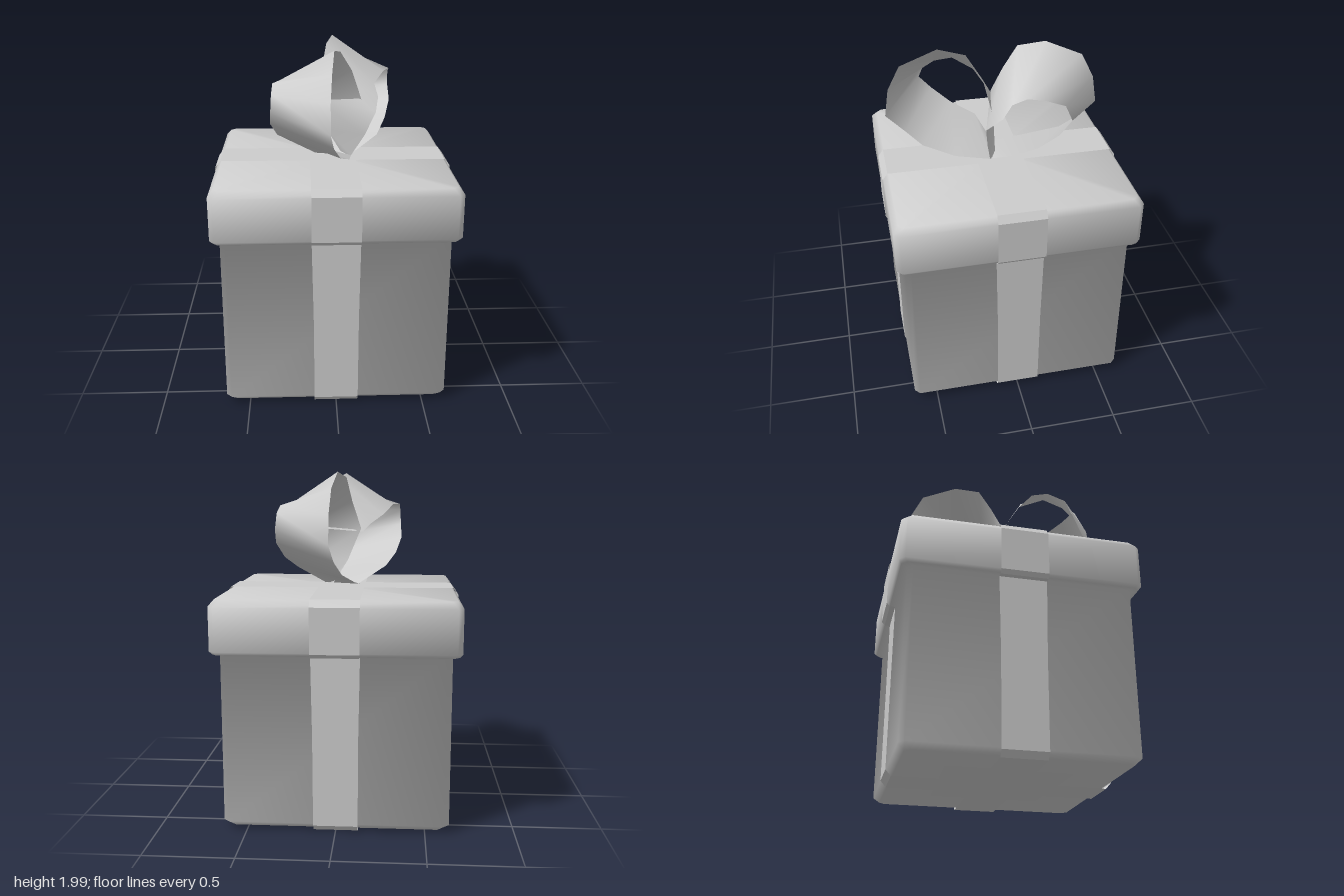
import * as THREE from 'three';

const grey = new THREE.MeshStandardMaterial({ color: 0xcccccc, side: THREE.DoubleSide });
grey.name = 'grey';

function part(name, geometry) {
  const mesh = new THREE.Mesh(geometry, grey);
  mesh.name = name;
  return mesh;
}

function buildGeometry(positions, index) {
  const g = new THREE.BufferGeometry();
  g.setAttribute('position', new THREE.Float32BufferAttribute(positions, 3));
  g.setIndex(index);
  return g;
}

// Square loft with clipped corners; profile points are [half width, height].
// Normals are the even average of neighbouring bevels, for soft shading.
function squareLoft(profile, clip) {
  const pos = [], nor = [], idx = [];
  const segment = (i) => {
    const [a, b] = [profile[i], profile[i + 1]];
    return a && b ? new THREE.Vector2(b[1] - a[1], a[0] - b[0]).normalize() : new THREE.Vector2();
  };
  profile.forEach(([r, y], k) => {
    const n = segment(k).add(segment(k - 1)).normalize();
    const c = Math.min(clip, r);
    for (let q = 0; q < 4; q++) {
      [[r, r - c, 22.5], [r - c, r, 67.5]].forEach(([px, pz, deg]) => {
        let x = px, z = pz;
        for (let t = 0; t < q; t++) [x, z] = [-z, x];
        const a = THREE.MathUtils.degToRad(deg + q * 90);
        pos.push(x, y, z);
        nor.push(n.x * Math.cos(a), n.y, n.x * Math.sin(a));
      });
    }
    if (k === 0) return;
    for (let i = 0; i < 8; i++) {
      const a = (k - 1) * 8 + i, b = (k - 1) * 8 + (i + 1) % 8;
      idx.push(a, a + 8, b, b, a + 8, b + 8);
    }
  });
  const g = buildGeometry(pos, idx);
  g.setAttribute('normal', new THREE.Float32BufferAttribute(nor, 3));
  return g;
}

// Ribbon surface between two edges, given as pairs of points
function strip(pairs, flat = false) {
  const idx = [];
  for (let i = 0; i < pairs.length - 1; i++) {
    const a = i * 2;
    idx.push(a, a + 1, a + 2, a + 1, a + 3, a + 2);
  }
  let g = buildGeometry(pairs.flat(2), idx);
  if (flat) g = g.toNonIndexed();
  g.computeVertexNormals();
  return g;
}

export function createModel() {
  const model = new THREE.Group();
  model.name = 'giftBox';

  // Box and overhanging lid in one soft-edged shell
  model.add(part('boxAndLid', squareLoft([
    [0, 0.012], [0.6, 0.012], [0.635, 0.045], [0.635, 1.01], [0.67, 1.01],
    [0.685, 1.03], [0.685, 1.275], [0.655, 1.312], [0, 1.312],
  ], 0.03)));

  // Two ribbon bands wrapped around box and lid: [distance, height, half width]
  const half = [
    [0, 0, 0.125], [0.61, 0, 0.125], [0.641, 0.035, 0.125], [0.641, 0.55, 0.127], [0.641, 1.003, 0.135],
    [0.672, 1.003, 0.135], [0.691, 1.025, 0.135], [0.691, 1.28, 0.135], [0.66, 1.32, 0.135], [0, 1.32, 0.135],
  ];
  const wrap = [...half, ...half.slice(0, -1).reverse().map(([d, y, w]) => [-d, y, w])];
  const band = strip(wrap.map(([d, y, w]) => [[-w, y, d], [w, y, d]]), true);
  for (const [name, turn] of [['ribbonFrontToBack', 0], ['ribbonSideToSide', Math.PI / 2]]) {
    const mesh = part(name, band);
    mesh.rotation.y = turn;
    model.add(mesh);
  }

  // Bow loop, from the knot outwards, up and back over: [outer side edge, tip edge]
  const loop = [
    [[-0.1, 1.33, 0.01], [0.11, 1.325, 0.05]],
    [[-0.26, 1.43, 0.08], [0.09, 1.36, 0.26]],
    [[-0.32, 1.5, 0.22], [0.03, 1.42, 0.44]],
    [[-0.355, 1.59, 0.33], [-0.01, 1.5, 0.53]],
    [[-0.35, 1.67, 0.4], [-0.03, 1.6, 0.635]],
    [[-0.345, 1.76, 0.36], [-0.03, 1.76, 0.61]],
    [[-0.34, 1.8, 0.25], [-0.02, 1.9, 0.54]],
    [[-0.3, 1.8, 0.16], [0, 1.99, 0.33]],
    [[-0.24, 1.74, 0.09], [0.04, 1.96, 0.18]],
  ];
  const frontEnd = [
    [[-0.17, 1.69, 0.05], [0.11, 1.84, 0.1]],
    [[-0.12, 1.64, 0.01], [0.17, 1.66, 0.06]],
  ];
  // The back loop is the front one turned half round, with its tail twisted into the knot
  const backEnd = [
    [[0.27, 1.67, 0.02], [-0.06, 1.82, -0.05]],
    [[0.25, 1.6, 0.11], [-0.11, 1.66, 0.01]],
    [[0.19, 1.46, 0.09], [-0.03, 1.47, 0.01]],
    [[0.11, 1.325, 0.06], [0.06, 1.325, 0.02]],
  ];
  const turned = loop.map((pair) => pair.map(([x, y, z]) => [0.01 - x, y, 0.055 - z]));
  model.add(part('bowFrontLoop', strip([...loop, ...frontEnd])));
  model.add(part('bowBackLoop', strip([...turned, ...backEnd])));

  return model;
}
